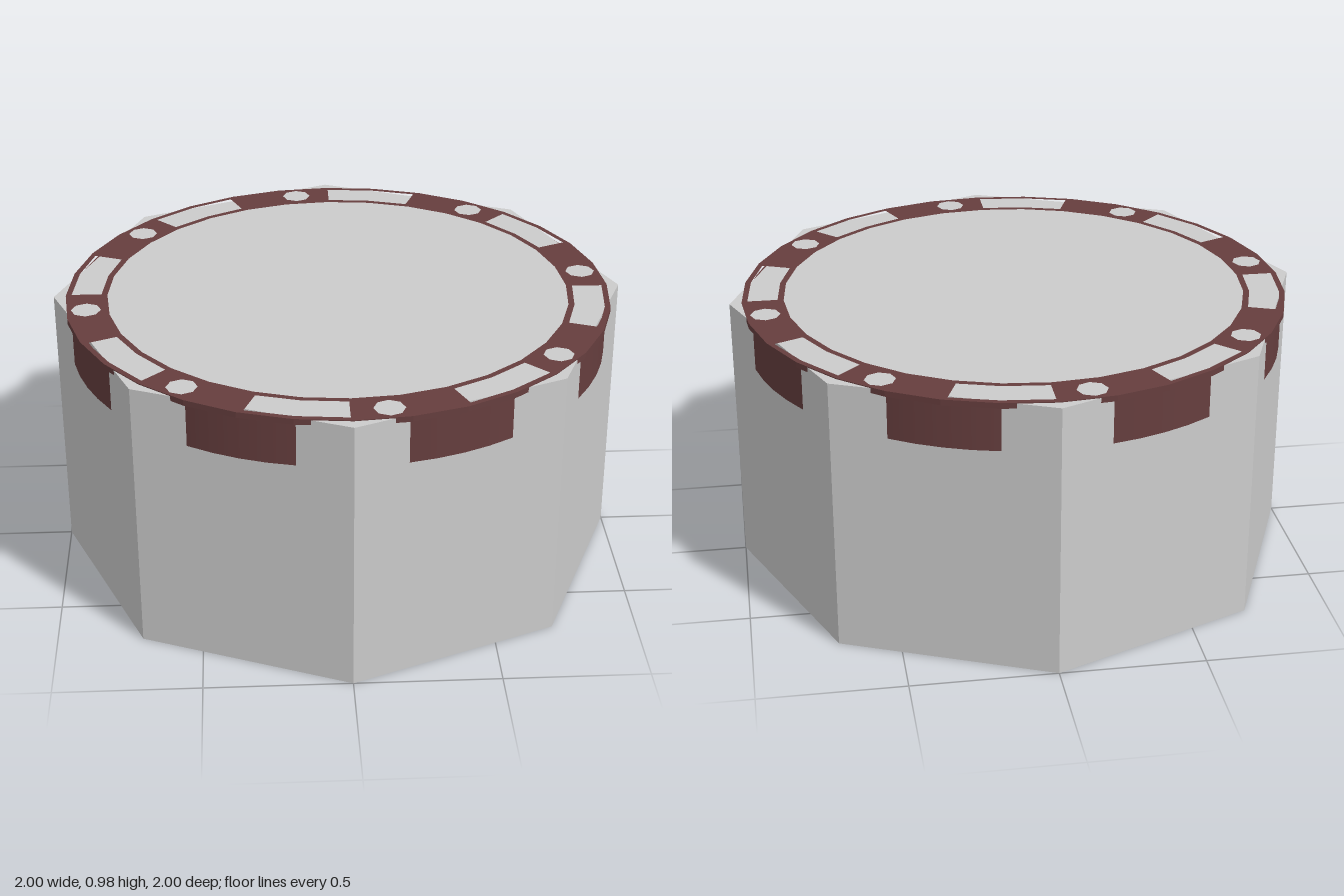
import * as THREE from 'three';

const bodyGrey = new THREE.MeshStandardMaterial({ color: 0xcccccc });
bodyGrey.name = 'body grey';
const ringBrown = new THREE.MeshStandardMaterial({ color: 0x663e3e });
ringBrown.name = 'ring brown';

const BODY_TOP = 0.972, RING_TOP = 0.975, RING_BOTTOM = 0.955;
const STEP = Math.PI / 4;

// Point at radius r, angle measured clockwise from the back as seen from above
const polar = (r, a) => new THREE.Vector2(r * Math.sin(a), r * Math.cos(a));

const circle = (r, n, cx = 0, cy = 0) =>
  Array.from({ length: n }, (_, i) => polar(r, (i / n) * Math.PI * 2).add(new THREE.Vector2(cx, cy)));

// Curved slot outline, two segments long
function slot(start) {
  const angles = [0.5, 11.25, 21.4].map((d) => start + THREE.MathUtils.degToRad(d));
  return [...angles.map((a) => polar(0.938, a)), ...angles.reverse().map((a) => polar(0.833, a))];
}

function add(group, name, geometry, material) {
  const mesh = new THREE.Mesh(geometry, material);
  mesh.name = name;
  group.add(mesh);
  return mesh;
}

export function createModel() {
  const group = new THREE.Group();
  group.name = 'octagonalDrum';

  // Octagonal body with hard edges
  const body = new THREE.CylinderGeometry(1, 1, BODY_TOP, 8).toNonIndexed();
  body.computeVertexNormals();
  add(group, 'body', body, bodyGrey).position.y = BODY_TOP / 2;

  // Round collar that breaks through the middle of each face
  const collar = new THREE.CylinderGeometry(0.943, 0.943, 0.16, 64);
  add(group, 'collar', collar, ringBrown).position.y = 0.88;

  // Thin top ring, pierced by eight slots and eight round holes
  const shape = new THREE.Shape(circle(0.958, 32));
  shape.holes.push(new THREE.Path(circle(0.812, 32)));
  for (let i = 0; i < 8; i++) {
    shape.holes.push(new THREE.Path(slot(i * STEP)));
    const c = polar(0.888, i * STEP - 0.133);
    shape.holes.push(new THREE.Path(circle(0.052, 8, c.x, c.y)));
  }
  const ring = new THREE.ExtrudeGeometry(shape, { depth: RING_TOP - RING_BOTTOM, bevelEnabled: false });
  ring.rotateX(-Math.PI / 2);
  add(group, 'topRing', ring, ringBrown).position.y = RING_BOTTOM;

  return group;
}
